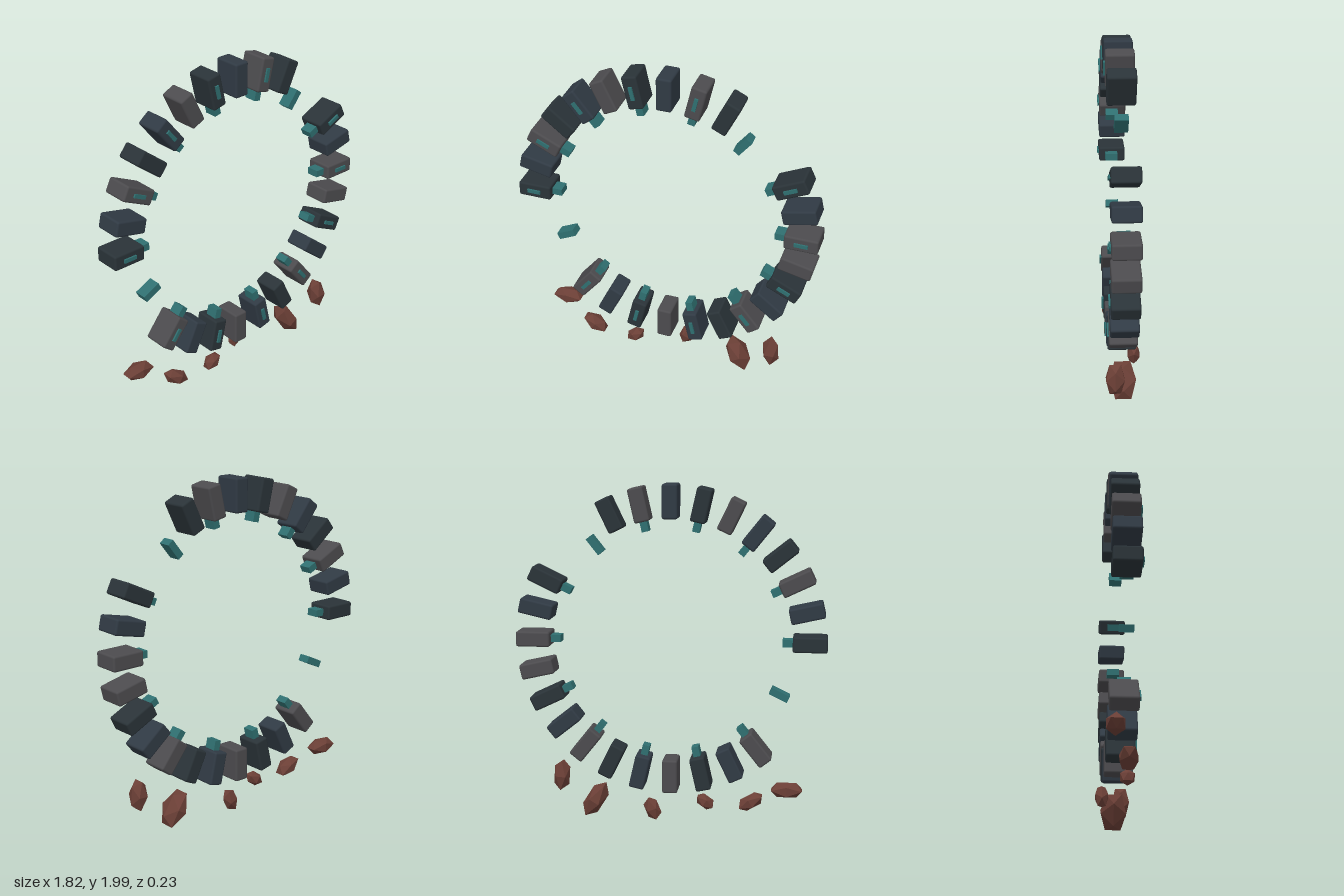
import * as THREE from 'three';
import { RoundedBoxGeometry } from 'three/addons/geometries/RoundedBoxGeometry.js';

const SLOTS = 28;          // evenly spaced places round the ring
const CENTRE_Y = 1.09;
const RING_Z = 0.008;

export function createModel() {
  const model = new THREE.Group();
  model.name = 'brokenRing';

  const paint = (color, flatShading = false) => {
    const m = new THREE.MeshStandardMaterial({ flatShading });
    m.color.set(color);
    return m;
  };
  const stone = [paint(0x4c4b4e), paint(0x303a44), paint(0x2a3338)];
  const teal = paint(0x2f6f70);
  const rust = paint(0x6b3f36, true);

  const blockGeo = new RoundedBoxGeometry(0.2, 0.09, 0.162, 2, 0.012);
  const toothGeo = new THREE.BoxGeometry(0.115, 0.042, 0.076);
  const inlayGeo = new THREE.BoxGeometry(0.08, 0.022, 0.02);

  const add = (parent, name, geo, mat, x, y, z) => {
    const mesh = new THREE.Mesh(geo, mat);
    mesh.name = name;
    mesh.position.set(x, y, z);
    parent.add(mesh);
    return mesh;
  };

  // Ring: each slot is laid out along its own radius, then turned into place
  const ring = new THREE.Group();
  ring.name = 'ring';
  ring.position.set(0, CENTRE_Y, RING_Z);
  model.add(ring);
  const missingBlocks = [3, 4, 15, 16, 17];
  for (let k = 0; k < SLOTS; k++) {
    const slot = new THREE.Group();
    slot.name = 'ringSegment' + k;
    slot.rotation.z = (k / SLOTS) * Math.PI * 2;
    const whole = !missingBlocks.includes(k);
    if (whole) add(slot, 'block', blockGeo, stone[k % 3], 0.81, 0, 0);
    // every second slot has an inner tooth and a front inlay
    if (k % 2 === 0) {
      add(slot, 'tooth', toothGeo, teal, 0.708, 0, 0.006);
      if (whole) add(slot, 'inlay', inlayGeo, teal, 0.812, 0, 0.081);
    }
    ring.add(slot);
  }

  // Rubble below: position, half length, half height, half depth, tilt in degrees
  const rubble = [
    [-0.69, 0.22, -0.045, 0.09, 0.045, 0.05, 0],
    [-0.475, 0.115, 0.035, 0.078, 0.04, 0.05, -30],
    [-0.202, 0.102, 0.045, 0.056, 0.037, 0.04, 35],
    [0.1, 0.087, -0.08, 0.066, 0.042, 0.036, 68],
    [0.457, 0.106, 0.005, 0.108, 0.052, 0.075, -58],
    [0.674, 0.232, 0.06, 0.088, 0.047, 0.052, 94],
  ];
  const rockGeo = new THREE.IcosahedronGeometry(1 / 0.8507, 0); // unit half extents
  rubble.forEach(([x, y, z, a, b, c, tilt], i) => {
    const rock = add(model, 'rubble' + i, rockGeo, rust, x, y, z);
    rock.scale.set(a, b, c);
    rock.rotation.z = THREE.MathUtils.degToRad(tilt);
  });

  return model;
}
